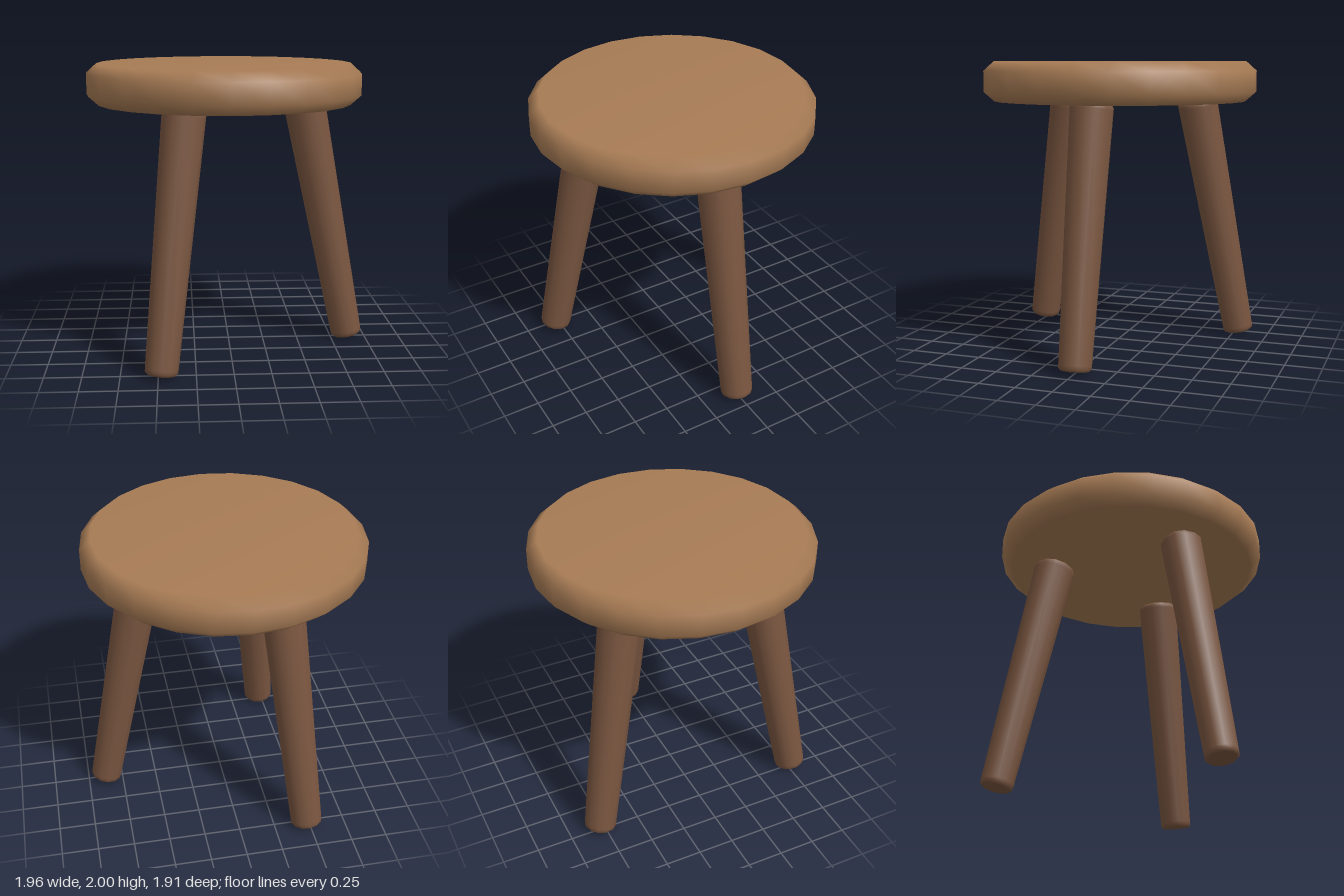
import * as THREE from 'three';

const seatWood = new THREE.MeshStandardMaterial({ color: 0xa87c55 });
seatWood.name = 'seatWood';
const legWood = new THREE.MeshStandardMaterial({ color: 0x7a5640 });
legWood.name = 'legWood';

// Smooth turned solid from [radius, height] pairs, listed bottom to top
function turned(profile, sides) {
  return new THREE.LatheGeometry(profile.map(([r, y]) => new THREE.Vector2(r, y)), sides);
}

export function createModel() {
  const stool = new THREE.Group();
  stool.name = 'stool';

  // Round seat with bevelled rims
  const seat = new THREE.Mesh(turned([
    [0, 1.725], [0.883, 1.725], [0.955, 1.79], [0.955, 1.935], [0.883, 2], [0, 2],
  ], 24), seatWood);
  seat.name = 'seat';
  stool.add(seat);

  // Three splayed legs, tapered towards the foot
  const foot = new THREE.Vector3(0.9, 0.02, 0);
  const head = new THREE.Vector3(0.565, 1.72, 0);
  const axis = head.clone().sub(foot);
  const length = axis.length();
  const legGeometry = turned([
    [0, 0], [0.095, 0], [0.11, 0.015], [0.111, 0.04],
    [0.146, length - 0.04], [0.147, length - 0.015], [0.132, length], [0, length],
  ], 12);
  const tilt = new THREE.Quaternion().setFromUnitVectors(
    new THREE.Vector3(0, 1, 0), axis.normalize());

  ['leftLeg', 'backRightLeg', 'frontRightLeg'].forEach((name, i) => {
    const leg = new THREE.Group();
    leg.name = name;
    const post = new THREE.Mesh(legGeometry, legWood);
    post.name = name + 'Post';
    post.position.copy(foot);
    post.quaternion.copy(tilt);
    leg.add(post);
    leg.rotation.y = i * Math.PI * 2 / 3;
    stool.add(leg);
  });

  // Centre the overall footprint, as one leg reaches past the seat
  stool.children.forEach((part) => { part.position.x = -0.03; });
  return stool;
}
